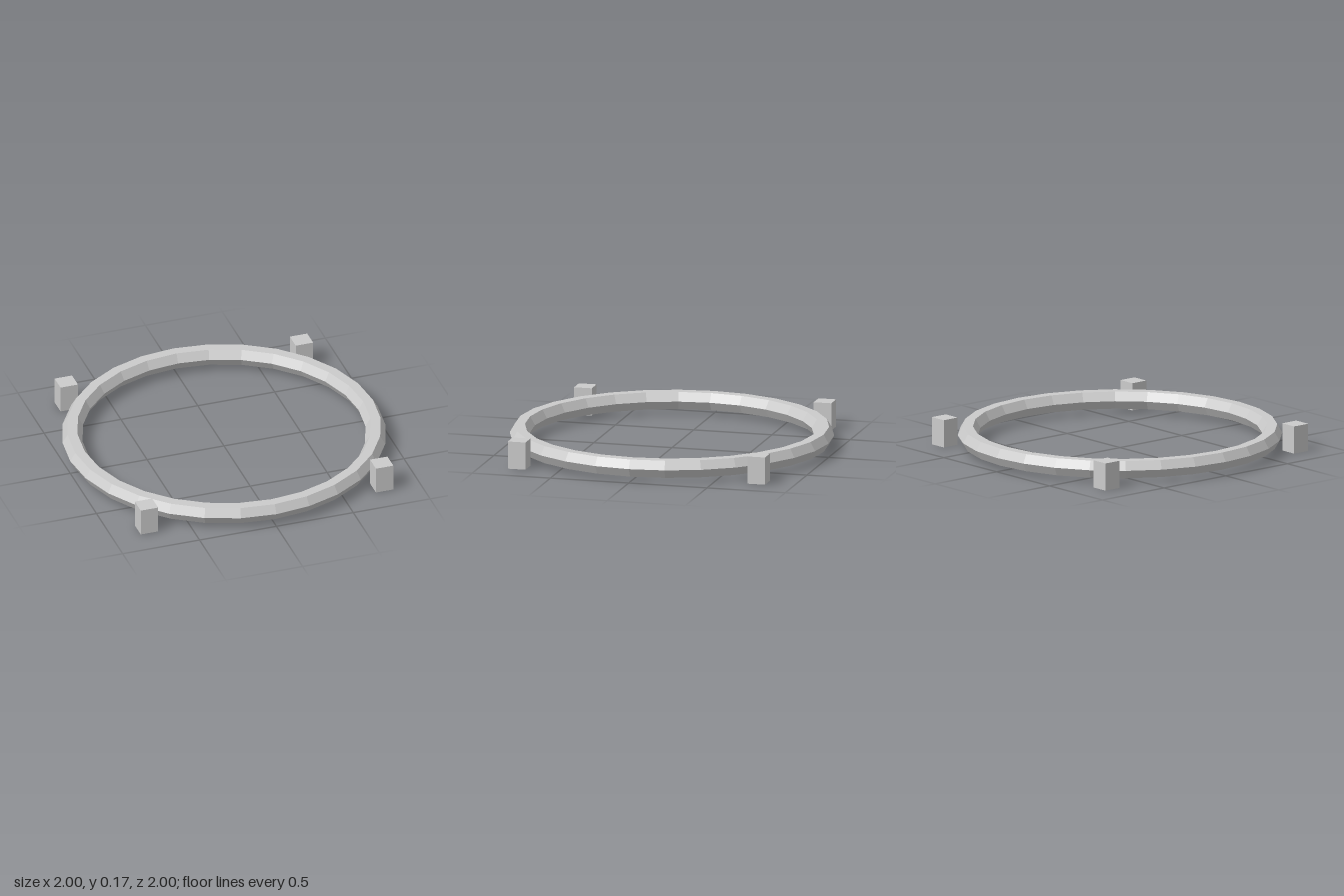
import * as THREE from 'three';

export function createModel() {
  const group = new THREE.Group();
  const grey = new THREE.MeshStandardMaterial({ color: 0xcccccc, flatShading: true });
  grey.name = 'light grey';

  const midHeight = 0.0875;

  // Ring with a hexagonal section
  const ringGeometry = new THREE.TorusGeometry(0.9375, 0.0625, 6, 28);
  ringGeometry.rotateX(-Math.PI / 2);
  const ring = new THREE.Mesh(ringGeometry, grey);
  ring.name = 'ring';
  ring.position.y = midHeight;
  group.add(ring);

  // Four blocks standing just outside the ring on its diagonals
  const blockGeometry = new THREE.BoxGeometry(0.113, 0.172, 0.113);
  const offset = 0.765;
  for (const [sx, sideName] of [[1, 'Left'], [-1, 'Right']]) {
    for (const [sz, endName] of [[1, 'front'], [-1, 'back']]) {
      const block = new THREE.Mesh(blockGeometry, grey);
      block.name = `${endName}${sideName}Block`;
      block.position.set(sx * offset, 0.086, sz * offset);
      group.add(block);
    }
  }

  return group;
}
